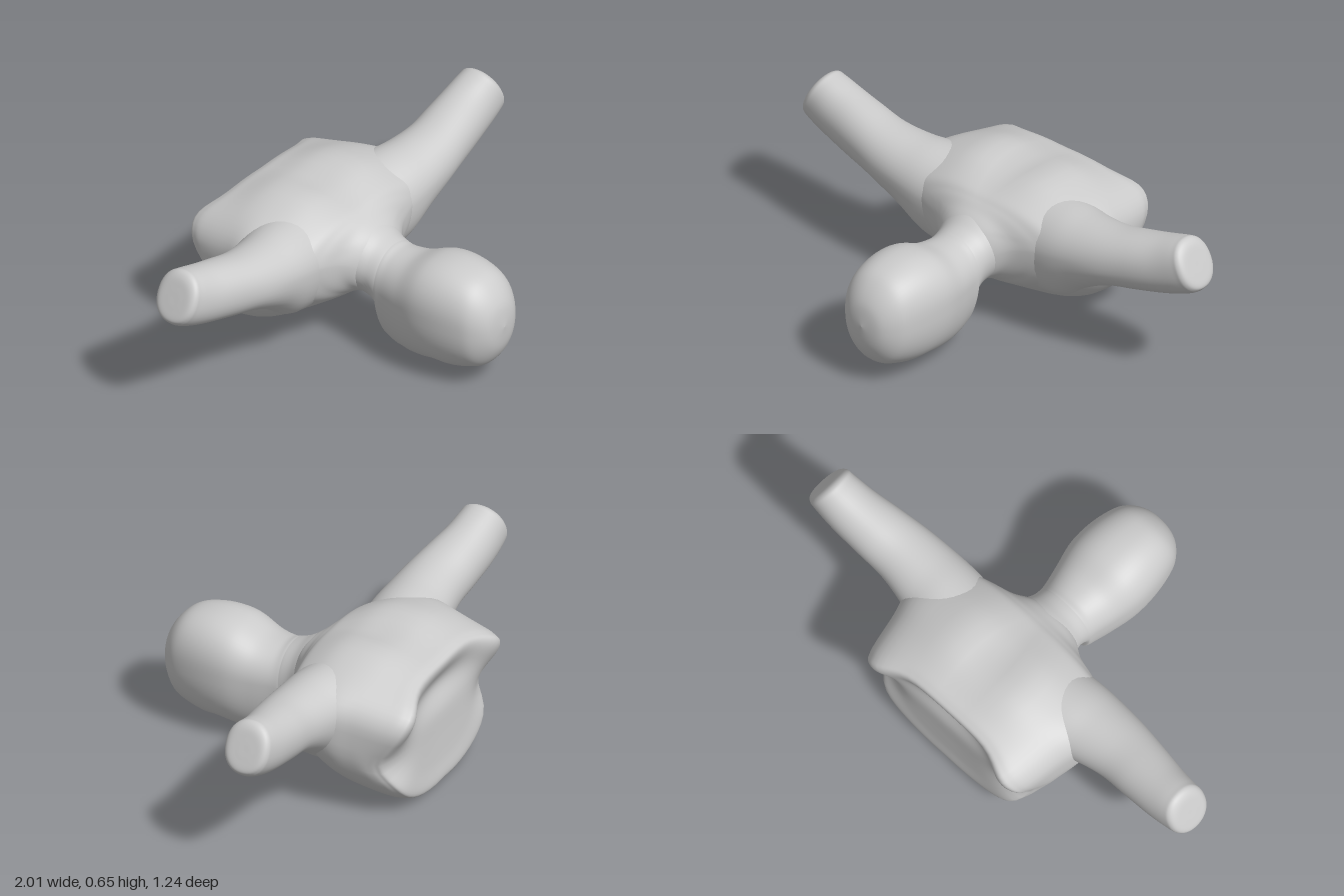
import * as THREE from 'three';

const material = new THREE.MeshStandardMaterial({ color: 0xcccccc });
const bump = (d, s) => Math.exp(-(d * d) / (s * s));

// Smooth interpolation through rows of numbers
function sampleRow(rows, t) {
  const f = t * (rows.length - 1);
  const i = Math.min(Math.floor(f), rows.length - 2);
  const u = f - i;
  const row = (k) => rows[Math.max(0, Math.min(rows.length - 1, k))];
  return rows[0].map((_, c) => {
    const [a, b, d, e] = [row(i - 1)[c], row(i)[c], row(i + 1)[c], row(i + 2)[c]];
    const m1 = (d - a) / 2, m2 = (e - b) / 2;
    return (2 * u ** 3 - 3 * u * u + 1) * b + (u ** 3 - 2 * u * u + u) * m1
      + (3 * u * u - 2 * u ** 3) * d + (u ** 3 - u * u) * m2;
  });
}

// Skin over superellipse sections running towards -z.
// Section: [z, top, level of greatest width, bottom, half width, exponent, centre x]
function loft(name, sections, warp, sides = 56, stepsPer = 6) {
  const steps = (sections.length - 1) * stepsPer;
  const pos = [], index = [];
  const p = new THREE.Vector3();
  for (let i = 0; i <= steps; i++) {
    const [z, top, mid, bottom, w, n, cx] = sampleRow(sections, i / steps);
    for (let j = 0; j < sides; j++) {
      const a = (j / sides) * Math.PI * 2;
      const c = Math.cos(a), s = Math.sin(a);
      const px = Math.sign(c) * Math.abs(c) ** (2 / n);
      const py = Math.sign(s) * Math.abs(s) ** (2 / n);
      p.set(cx + px * w, mid + py * (s > 0 ? top - mid : mid - bottom), z);
      if (warp) warp(p);
      pos.push(p.x, p.y, p.z);
      if (i < steps) {
        const k = i * sides, j2 = (j + 1) % sides;
        index.push(k + j, k + sides + j, k + j2, k + j2, k + sides + j, k + sides + j2);
      }
    }
  }
  const g = new THREE.BufferGeometry();
  g.setAttribute('position', new THREE.Float32BufferAttribute(pos, 3));
  g.setIndex(index);
  g.computeVertexNormals();
  const mesh = new THREE.Mesh(g, material);
  mesh.name = name;
  return mesh;
}

// Face looks down: nose, eye sockets and mouth are pressed into the underside
function shapeFace(p) {
  const under = THREE.MathUtils.smoothstep(0.24 - p.y, 0, 0.16);
  const nose = 0.022 * bump(p.x, 0.035) * bump(p.z - 0.28, 0.05);
  const eyes = 0.028 * bump(Math.abs(p.x) - 0.065, 0.035) * bump(p.z - 0.36, 0.035);
  const mouth = 0.014 * bump(p.x, 0.07) * bump(p.z - 0.19, 0.02);
  p.y += under * (eyes + mouth - nose);
}

// Shoulder blades, spine and chest hollows, and the uneven cut at the waist
function shapeTorso(p) {
  const ax = Math.abs(p.x);
  const along = bump(p.z + 0.28, 0.2);
  if (p.y > 0.45) p.y += along * (0.014 * bump(ax - 0.17, 0.09) - 0.016 * bump(p.x, 0.06));
  if (p.y < 0.2) p.y += 0.012 * bump(p.x, 0.05) * bump(p.z + 0.35, 0.2);
  const w = THREE.MathUtils.smoothstep(-p.z, 0.4, 0.57);
  p.z += w * (0.07 * bump(ax - 0.42, 0.12) * bump(p.y - 0.25, 0.09)
    + 0.035 * bump(p.x, 0.22) * bump(p.y - 0.42, 0.07)
    - 0.05 * bump(ax - 0.34, 0.1) * bump(p.y - 0.46, 0.1));
}

// The arm's end is cut square to its rising axis
function slantArmEnd(p) {
  const w = THREE.MathUtils.smoothstep(-p.z, 0.6, 0.95);
  p.z += w * (p.y - 0.56) * 0.45;
}

export function createModel() {
  const model = new THREE.Group();
  model.name = 'bust';

  model.add(loft('headAndNeck', [
    [0.62, 0.28, 0.28, 0.28, 0, 2.1, 0],
    [0.605, 0.37, 0.28, 0.18, 0.08, 2.1, 0],
    [0.56, 0.44, 0.29, 0.105, 0.135, 2.2, 0],
    [0.5, 0.48, 0.3, 0.075, 0.162, 2.3, 0],
    [0.4, 0.498, 0.31, 0.05, 0.18, 2.3, 0],
    [0.3, 0.488, 0.31, 0.042, 0.18, 2.3, 0],
    [0.2, 0.448, 0.3, 0.03, 0.158, 2.2, 0],
    [0.125, 0.44, 0.3, 0.04, 0.14, 2.1, 0],
    [0.09, 0.447, 0.3, 0.07, 0.134, 2.1, 0],
    [0.078, 0.45, 0.31, 0.165, 0.132, 2.1, 0],
    [0.04, 0.465, 0.34, 0.195, 0.132, 2, 0],
    [0, 0.488, 0.36, 0.215, 0.145, 2, 0],
    [-0.06, 0.52, 0.38, 0.22, 0.17, 2, 0],
    [-0.14, 0.54, 0.39, 0.25, 0.17, 2, 0],
  ], shapeFace));

  model.add(loft('torso', [
    [0.05, 0.43, 0.36, 0.25, 0.09, 2, 0],
    [0.01, 0.48, 0.37, 0.22, 0.138, 2, 0],
    [-0.03, 0.512, 0.4, 0.212, 0.2, 1.8, 0],
    [-0.06, 0.535, 0.42, 0.205, 0.3, 1.75, 0],
    [-0.1, 0.56, 0.43, 0.18, 0.4, 1.9, 0],
    [-0.2, 0.595, 0.43, 0.12, 0.46, 2.2, 0],
    [-0.3, 0.605, 0.42, 0.06, 0.47, 2.4, 0],
    [-0.4, 0.6, 0.4, 0.022, 0.445, 2.5, 0],
    [-0.5, 0.572, 0.38, 0.004, 0.425, 2.5, 0],
    [-0.55, 0.555, 0.37, 0.008, 0.41, 2.5, 0],
    [-0.575, 0.53, 0.36, 0.03, 0.385, 2.5, 0],
    [-0.568, 0.46, 0.34, 0.11, 0.28, 2.3, 0],
    [-0.562, 0.39, 0.32, 0.22, 0.14, 2.1, 0],
    [-0.56, 0.31, 0.31, 0.31, 0, 2, 0],
  ], shapeTorso));

  // Arms are lofted along -z, then turned outward and mirrored
  for (const side of [1, -1]) {
    const arm = loft('arm', [
      [-0.22, 0.57, 0.4, 0.16, 0.18, 2, -0.24],
      [-0.34, 0.575, 0.42, 0.19, 0.165, 2, -0.22],
      [-0.45, 0.575, 0.44, 0.27, 0.145, 2, -0.205],
      [-0.58, 0.585, 0.46, 0.34, 0.127, 2.1, -0.2],
      [-0.7, 0.607, 0.49, 0.37, 0.117, 2.1, -0.212],
      [-0.82, 0.63, 0.52, 0.405, 0.106, 2.1, -0.225],
      [-0.92, 0.652, 0.55, 0.445, 0.097, 2.2, -0.23],
      [-0.955, 0.658, 0.56, 0.465, 0.092, 2.2, -0.23],
      [-0.972, 0.64, 0.56, 0.485, 0.073, 2.1, -0.23],
      [-0.975, 0.6, 0.56, 0.525, 0.035, 2, -0.23],
      [-0.975, 0.56, 0.56, 0.56, 0, 2, -0.23],
    ], slantArmEnd, 40);
    arm.rotation.y = -Math.PI / 2;
    const half = new THREE.Group();
    half.name = side > 0 ? 'leftArm' : 'rightArm';
    half.scale.x = side;
    half.add(arm);
    model.add(half);
  }
  return model;
}
